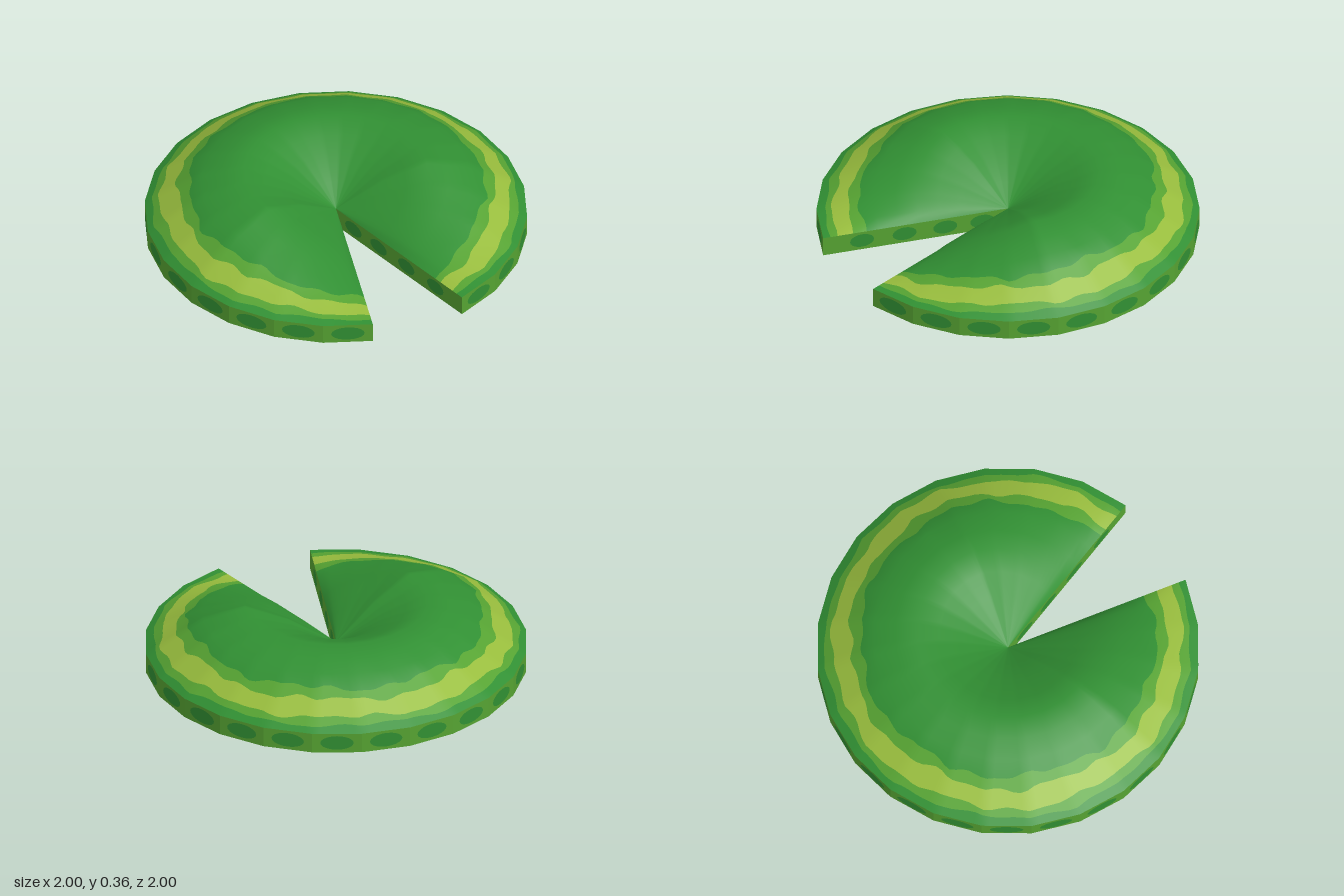
import * as THREE from 'three';

const STEP = 15, START = 90, END = 420, RIM = 0.11;
const rad = THREE.MathUtils.degToRad;
const rimPoint = a => new THREE.Vector2(Math.cos(rad(a)), Math.sin(rad(a))); // x, z

const mat = (name, color) => {
  const m = new THREE.MeshStandardMaterial({ color });
  m.name = name;
  return m;
};

// Height of the puffy leaf: a ring-shaped swell that sinks towards the notch
const PROFILE = [[0, 0], [0.25, 0.155], [0.48, 0.25], [0.7, 0.195], [1, 0]];
function height(t, a) {
  let i = 1;
  while (i < PROFILE.length - 1 && t > PROFILE[i][0]) i++;
  const [t0, h0] = PROFILE[i - 1], [t1, h1] = PROFILE[i];
  const h = h0 + (h1 - h0) * (t - t0) / (t1 - t0);
  const fade = Math.min(1, Math.min(a - START, END - a) / 60);
  return RIM + h * Math.pow(Math.max(0, fade), 0.7);
}

// Uneven edge of the painted bands
const wobble = (a, k) => 0.011 * Math.sin(rad(a) * 7 + k) +
  0.008 * Math.sin(rad(a) * 17 + k * 2.3) + 0.006 * Math.sin(rad(a) * 29 + k);

function leafTop(mats) {
  // [radius, wobble amount, material of the strip ending at this radius]
  const rows = [[0, 0, 0], [0.125, 0, 0], [0.25, 0, 0], [0.365, 0, 0], [0.48, 0, 0],
    [0.59, 0, 0], [0.7, 0, 0], [0.775, 1, 0], [0.83, 1, 1], [0.92, 0.8, 2],
    [0.96, 0.5, 1], [1, 0, 0]];
  const sub = 2.5, n = (END - START) / sub;
  const pos = [], index = [];
  const geo = new THREE.BufferGeometry();
  rows.forEach(([r, w, m], j) => {
    for (let i = 0; i <= n; i++) {
      const a = START + i * sub;
      const a0 = Math.min(END - STEP, Math.floor(a / STEP) * STEP);
      const p = rimPoint(a0).lerp(rimPoint(a0 + STEP), (a - a0) / STEP);
      const t = r + w * wobble(a, j);
      pos.push(p.x * t, height(t, a), p.y * t);
    }
    if (j === 0) return;
    const first = index.length;
    for (let i = 0; i < n; i++) {
      const p = (j - 1) * (n + 1) + i, q = p + n + 1;
      if (j > 1) index.push(p, p + 1, q);
      index.push(p + 1, q + 1, q);
    }
    geo.addGroup(first, index.length - first, m);
  });
  geo.setAttribute('position', new THREE.Float32BufferAttribute(pos, 3));
  geo.setIndex(index);
  geo.computeVertexNormals();
  const mesh = new THREE.Mesh(geo, mats);
  mesh.name = 'leafTop';
  return mesh;
}

// Upright wall from its left to its right end, with a row of oval spots
function wall(name, left, right, spots, spotWidth, wallMat, spotMat) {
  const g = new THREE.Group();
  g.name = name;
  const d = right.clone().sub(left), len = d.length();
  g.position.set(left.x, 0, left.y);
  g.rotation.y = Math.atan2(-d.y, d.x);
  const face = new THREE.Mesh(new THREE.PlaneGeometry(len, RIM), wallMat);
  face.name = 'wallFace';
  face.position.set(len / 2, RIM / 2, 0);
  g.add(face);
  for (const s of spots) {
    const spot = new THREE.Mesh(new THREE.CircleGeometry(0.5, 20), spotMat);
    spot.name = 'wallSpot';
    spot.scale.set(spotWidth, 0.08, 1);
    spot.position.set(len * s, RIM / 2 + 0.002, 0.002);
    g.add(spot);
  }
  return g;
}

export function createModel() {
  const deep = mat('deep green', 0x319033);
  const leaf = mat('leaf green', 0x56a332);
  const lime = mat('lime olive', 0x98bd3d);

  const model = new THREE.Group();
  model.name = 'lilyPad';
  model.add(leafTop([deep, leaf, lime]));

  // Outer rim, one spot on each facet
  for (let a = START; a < END; a += STEP) {
    model.add(wall('rimFacet', rimPoint(a + STEP), rimPoint(a), [0.5], 0.175, leaf, deep));
  }

  // Two walls of the notch
  const centre = new THREE.Vector2(0, 0);
  model.add(wall('notchWallRight', rimPoint(START), centre, [0.21, 0.44, 0.66, 0.86], 0.13, leaf, deep));
  model.add(wall('notchWallLeft', centre, rimPoint(END), [0.14, 0.34, 0.56, 0.79], 0.13, leaf, deep));

  // Flat underside
  const outline = [centre];
  for (let a = START; a <= END; a += STEP) outline.push(rimPoint(a));
  const underside = new THREE.Mesh(new THREE.ShapeGeometry(new THREE.Shape(outline)), leaf);
  underside.name = 'underside';
  underside.rotation.x = Math.PI / 2;
  model.add(underside);
  return model;
}
